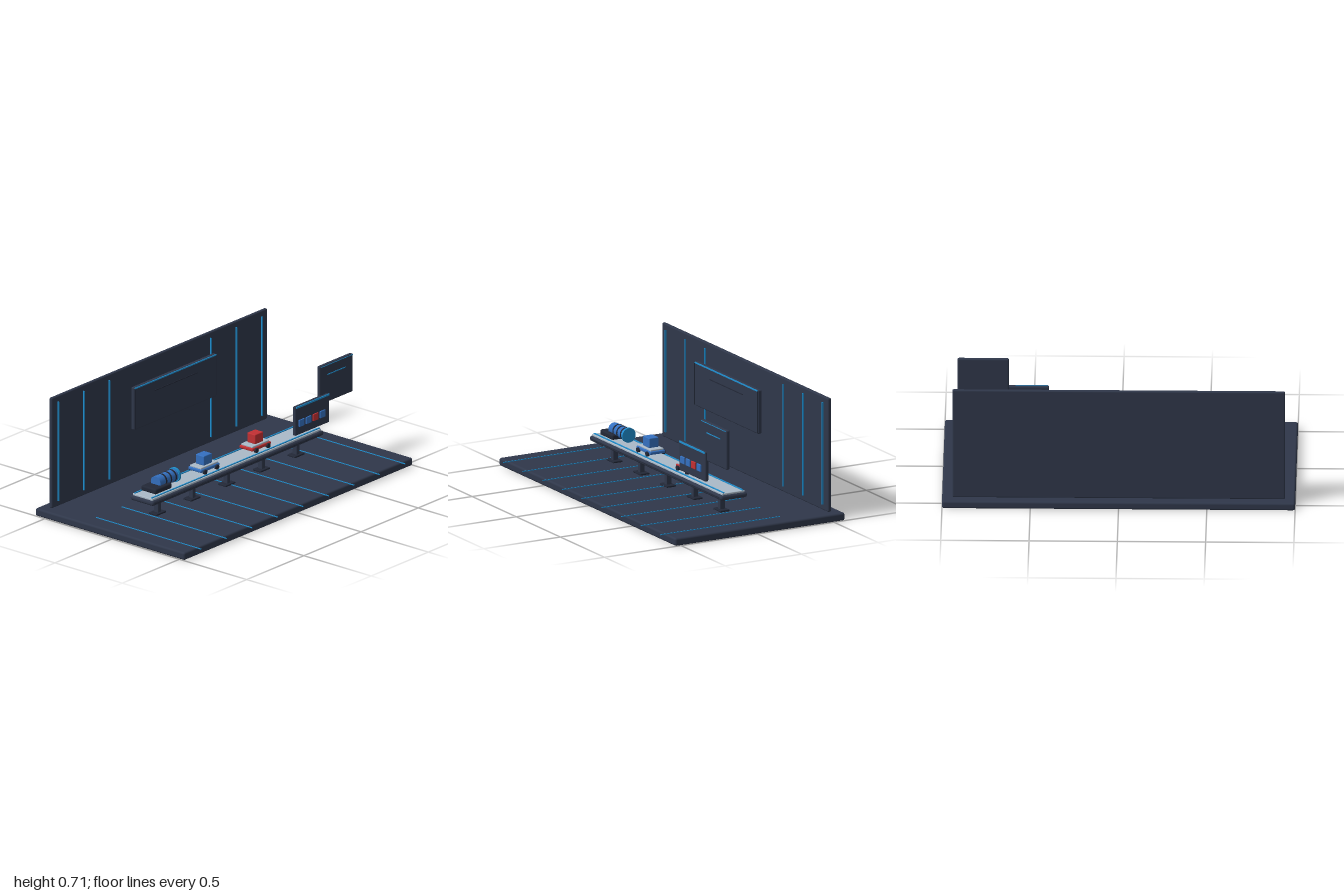
import * as THREE from 'three';
import { RoundedBoxGeometry } from 'three/addons/geometries/RoundedBoxGeometry.js';

const mat = (name, color) => {
  const m = new THREE.MeshStandardMaterial({ color });
  m.name = name;
  return m;
};

export function createModel() {
  const navy = mat('navy', 0x2f374a);
  const charcoal = mat('charcoal', 0x222837);
  const cyan = mat('cyan', 0x1f8fd0);
  const blue = mat('blue', 0x3470c0);
  const red = mat('red', 0xc23033);
  const pale = mat('pale grey', 0xabbac8);

  const model = new THREE.Group();
  model.name = 'conveyorStation';

  const add = (parent, name, geo, material, x, y, z) => {
    const mesh = new THREE.Mesh(geo, material);
    mesh.name = name;
    mesh.position.set(x, y, z);
    parent.add(mesh);
    return mesh;
  };
  // boxes given by their limits along each axis
  const box = (parent, name, material, [x0, x1], [y0, y1], [z0, z1], r = 0) => {
    const size = [x1 - x0, y1 - y0, z1 - z0];
    const geo = r ? new RoundedBoxGeometry(...size, 3, r) : new THREE.BoxGeometry(...size);
    return add(parent, name, geo, material, (x0 + x1) / 2, (y0 + y1) / 2, (z0 + z1) / 2);
  };
  const group = (name, x = 0, y = 0, z = 0) => {
    const g = new THREE.Group();
    g.name = name;
    g.position.set(x, y, z);
    model.add(g);
    return g;
  };

  // floor slab with inlaid guide lines
  const floor = group('floor');
  box(floor, 'floorSlab', navy, [-1, 1], [0, 0.046], [-0.573, 0.537], 0.012);
  for (let i = -4; i <= 4; i++) {
    const x = i * 0.223;
    box(floor, 'floorLine', cyan, [x - 0.002, x + 0.002], [0.045, 0.05], [-0.21, 0.571]);
  }

  // back wall with vertical light strips
  const wall = group('backWall');
  box(wall, 'wallPanel', navy, [-0.942, 0.942], [0.045, 0.713], [-0.517, -0.495], 0.008);
  for (const x of [-0.893, -0.669, -0.446, 0.442, 0.665, 0.888]) {
    box(wall, 'wallStrip', cyan, [x - 0.003, x + 0.003], [0.08, 0.68], [-0.496, -0.486]);
  }

  // large display in front of the wall
  const display = group('largeDisplay');
  box(display, 'displayPanel', navy, [-0.364, 0.356], [0.38, 0.638], [-0.401, -0.375], 0.008);
  box(display, 'displayTopStrip', cyan, [-0.36, 0.352], [0.629, 0.636], [-0.378, -0.372]);
  box(display, 'displayLine', charcoal, [-0.19, 0.185], [0.57, 0.575], [-0.376, -0.372]);
  for (const x of [-0.36, 0.352]) {
    box(display, 'displaySideTrim', charcoal, [x - 0.002, x + 0.002], [0.385, 0.63], [-0.376, -0.372]);
  }

  // small floating display
  const side = group('sideDisplay');
  box(side, 'sidePanel', navy, [0.632, 0.922], [0.377, 0.608], [0.134, 0.158], 0.008);
  box(side, 'sideLine', cyan, [0.698, 0.853], [0.542, 0.547], [0.157, 0.161]);
  box(side, 'sideTopTrim', cyan, [0.636, 0.918], [0.6, 0.603], [0.157, 0.16]);

  // control panel with four buttons
  const control = group('controlPanel');
  box(control, 'controlBoard', navy, [0.404, 0.703], [0.257, 0.433], [0.147, 0.17], 0.008);
  box(control, 'controlTopStrip', cyan, [0.41, 0.697], [0.421, 0.431], [0.166, 0.173]);
  [blue, blue, red, blue].forEach((m, i) => {
    const x = 0.454 + i * 0.061;
    box(control, 'button', m, [x - 0.023, x + 0.023], [0.306, 0.348], [0.169, 0.178], 0.003);
  });

  // conveyor bed, belt and rails
  const conveyor = group('conveyor', 0, 0, 0.005);
  box(conveyor, 'bed', navy, [-0.75, 0.748], [0.144, 0.175], [-0.087, 0.087], 0.014);
  box(conveyor, 'belt', pale, [-0.74, 0.738], [0.17, 0.185], [-0.074, 0.074], 0.004);
  for (const s of [-1, 1]) {
    box(conveyor, 'rail', cyan, [-0.735, 0.735], [0.18, 0.19], [s * 0.062 - 0.004, s * 0.062 + 0.004]);
    box(conveyor, 'sideTrim', charcoal, [-0.73, 0.73], [0.158, 0.162], [s * 0.087 - 0.002, s * 0.087 + 0.002]);
  }

  // support legs with feet
  for (let i = -2; i <= 2; i++) {
    const leg = group('leg', i * 0.303 - 0.004, 0, 0.006);
    box(leg, 'post', navy, [-0.013, 0.013], [0.05, 0.15], [-0.016, 0.016], 0.004);
    box(leg, 'foot', charcoal, [-0.042, 0.042], [0.045, 0.056], [-0.03, 0.03], 0.004);
  }

  // banded drum lying on a cradle
  const drum = group('drum', 0, 0, 0.003);
  box(drum, 'cradle', charcoal, [-0.687, -0.542], [0.19, 0.222], [-0.056, 0.056], 0.01);
  const roller = (name, material, x0, x1, r) => {
    const geo = new THREE.CylinderGeometry(r, r, x1 - x0, 32).rotateZ(Math.PI / 2);
    add(drum, name, geo, material, (x0 + x1) / 2, 0.234, 0);
  };
  roller('drumBody', blue, -0.623, -0.455, 0.036);
  for (const x of [-0.57, -0.527, -0.485]) roller('drumBand', charcoal, x - 0.005, x + 0.005, 0.038);
  roller('drumCap', cyan, -0.464, -0.45, 0.043);

  // carts carrying a crate
  const cart = (name, x, paint) => {
    const g = group(name, x, 0, 0.004);
    box(g, 'chassis', paint, [-0.082, 0.082], [0.202, 0.222], [-0.05, 0.05], 0.007);
    box(g, 'deck', pale, [-0.074, 0.074], [0.218, 0.231], [-0.043, 0.043], 0.004);
    box(g, 'crate', paint, [-0.036, 0.036], [0.23, 0.288], [-0.031, 0.031], 0.005);
    for (const sx of [-1, 1]) for (const sz of [-1, 1]) {
      const wheel = new THREE.CylinderGeometry(0.014, 0.014, 0.014, 20).rotateX(Math.PI / 2);
      add(g, 'wheel', wheel, charcoal, sx * 0.052, 0.204, sz * 0.052);
    }
  };
  cart('blueCart', -0.202, blue);
  cart('redCart', 0.247, red);

  return model;
}
